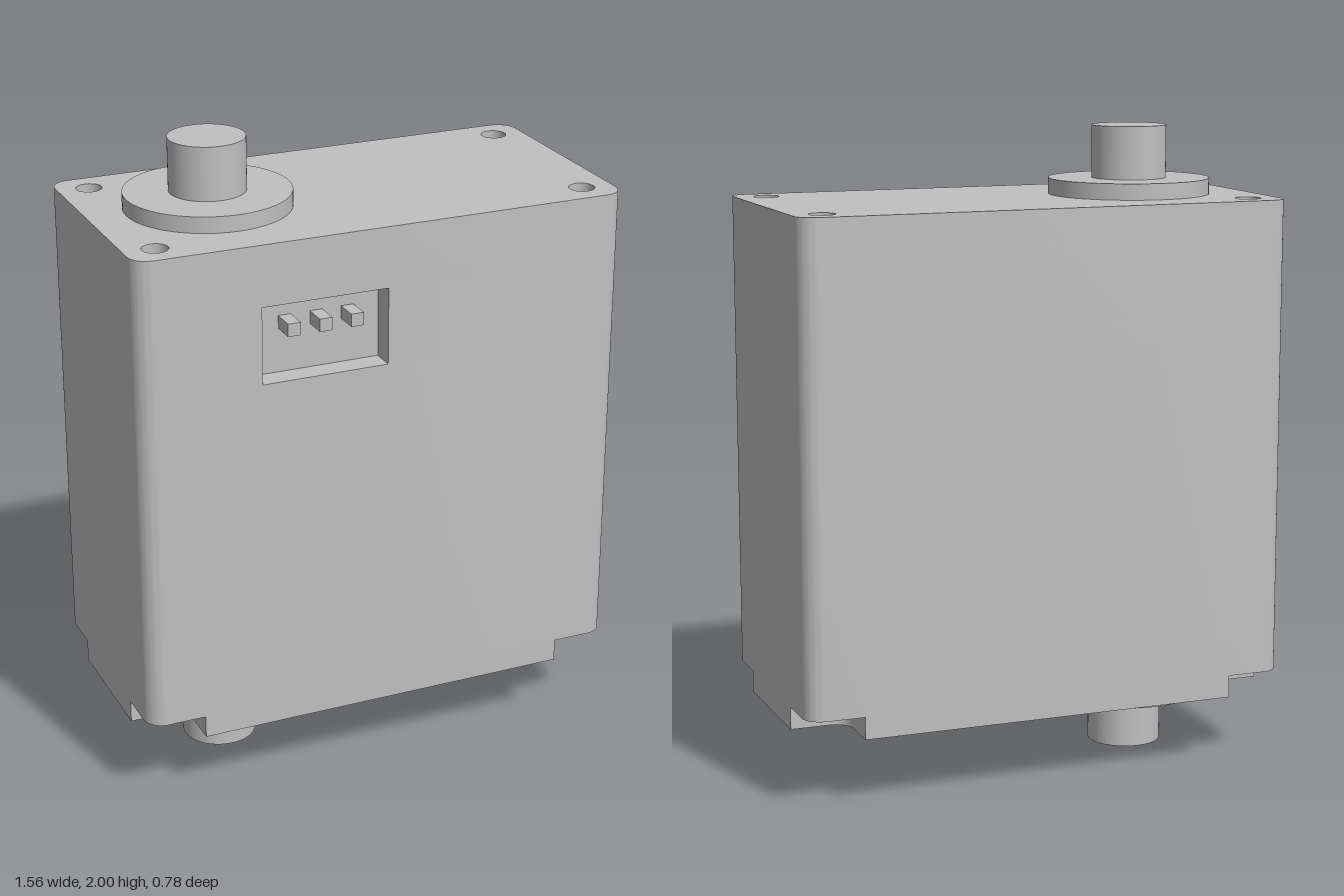
import * as THREE from 'three';
import { toCreasedNormals } from 'three/addons/utils/BufferGeometryUtils.js';

const W = 0.782, D = 0.391, R = 0.06;              // body half width, half depth, corner radius
const BOTTOM = 0.22, NOTCH_TOP = 0.29, TOP = 1.785;
const POCKET = { x0: -0.4, x1: 0, y0: 1.355, y1: 1.595, depth: 0.075 };

export function createModel() {
  const group = new THREE.Group();
  const grey = new THREE.MeshStandardMaterial({ color: 0xc0c0c0 });
  grey.name = 'housing grey';

  const add = (name, geometry, x = 0, y = 0, z = 0) => {
    const mesh = new THREE.Mesh(geometry, grey);
    mesh.name = name;
    mesh.position.set(x, y, z);
    group.add(mesh);
  };

  // Plan outline (shape y = model z), with four screw holes and an optional front recess
  const plan = (recess) => {
    const s = new THREE.Shape();
    s.moveTo(-W + R, -D);
    s.lineTo(W - R, -D);
    s.absarc(W - R, -D + R, R, -Math.PI / 2, 0);
    s.absarc(W - R, D - R, R, 0, Math.PI / 2);
    if (recess) {
      s.lineTo(POCKET.x1, D);
      s.lineTo(POCKET.x1, D - POCKET.depth);
      s.lineTo(POCKET.x0, D - POCKET.depth);
      s.lineTo(POCKET.x0, D);
    }
    s.absarc(-W + R, D - R, R, Math.PI / 2, Math.PI);
    s.absarc(-W + R, -D + R, R, Math.PI, Math.PI * 1.5);
    for (const sx of [-1, 1]) for (const sz of [-1, 1]) {
      const hole = new THREE.Path();
      hole.absarc(sx * 0.685, sz * 0.295, 0.04, 0, Math.PI * 2, true);
      s.holes.push(hole);
    }
    return s;
  };

  // Cross-shaped base plan whose notched corners have rounded inner edges
  const crossPlan = () => {
    const x = 0.602, z = 0.212, f = 0.06;
    const s = new THREE.Shape();
    s.moveTo(-x, -D);
    s.lineTo(x, -D);
    s.lineTo(x, -z - f);
    s.absarc(x + f, -z - f, f, Math.PI, Math.PI / 2, true);
    s.lineTo(W, -z);
    s.lineTo(W, z);
    s.lineTo(x + f, z);
    s.absarc(x + f, z + f, f, -Math.PI / 2, -Math.PI, true);
    s.lineTo(x, D);
    s.lineTo(-x, D);
    s.lineTo(-x, z + f);
    s.absarc(-x - f, z + f, f, 0, -Math.PI / 2, true);
    s.lineTo(-W, z);
    s.lineTo(-W, -z);
    s.lineTo(-x - f, -z);
    s.absarc(-x - f, -z - f, f, Math.PI / 2, 0, true);
    s.lineTo(-x, -D);
    return s;
  };

  // Extrudes a plan between two heights
  const layer = (name, shape, y0, y1) => {
    const g = new THREE.ExtrudeGeometry(shape, { depth: y1 - y0, bevelEnabled: false, curveSegments: 10 });
    g.rotateX(Math.PI / 2);
    g.translate(0, y1, 0);
    add(name, toCreasedNormals(g, 0.6));
  };

  // Housing
  layer('notchedBase', crossPlan(), BOTTOM, NOTCH_TOP);
  layer('lowerHousing', plan(false), NOTCH_TOP, POCKET.y0);
  layer('connectorHousing', plan(true), POCKET.y0, POCKET.y1);
  layer('upperHousing', plan(false), POCKET.y1, TOP);

  // Connector pins, flush with the front face
  for (const x of [-0.3, -0.2, -0.1]) {
    add('connectorPin', new THREE.BoxGeometry(0.04, 0.04, POCKET.depth), x, 1.512, D - POCKET.depth / 2);
  }

  // Collars and shafts, above and below
  const cylinder = (name, r, y0, y1) =>
    add(name, new THREE.CylinderGeometry(r, r, y1 - y0, 64), -0.413, (y0 + y1) / 2, 0);
  cylinder('topCollar', 0.254, TOP, 1.835);
  cylinder('topShaft', 0.117, 1.835, 2);
  cylinder('bottomCollar', 0.254, 0.17, BOTTOM);
  cylinder('bottomShaft', 0.117, 0, 0.17);

  return group;
}
